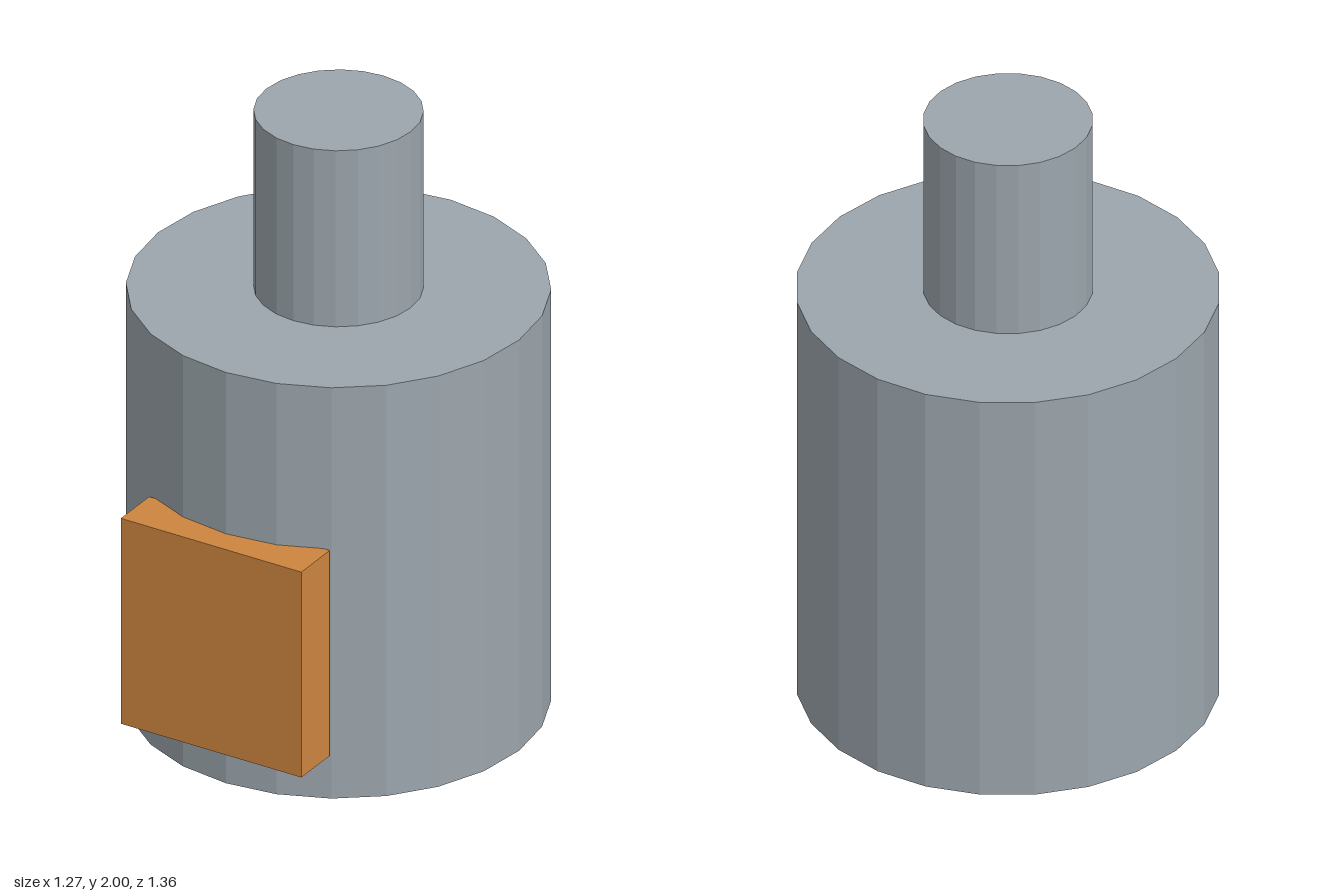
import * as THREE from 'three';

export function createModel() {
  const group = new THREE.Group();
  const steel = new THREE.MeshStandardMaterial({ name: 'steel grey', color: 0x9ca6ad, flatShading: true });
  const copper = new THREE.MeshStandardMaterial({ name: 'copper orange', color: 0xcd853f, flatShading: true });
  const axisZ = -0.042; // common axis of the two drums

  const add = (name, geometry, material, y, z) => {
    const mesh = new THREE.Mesh(geometry, material);
    mesh.name = name;
    mesh.position.set(0, y, z);
    group.add(mesh);
  };

  // Upright 24-sided drum standing on height y0
  const drum = (name, radius, y0, y1) =>
    add(name, new THREE.CylinderGeometry(radius, radius, y1 - y0, 24), steel, (y0 + y1) / 2, axisZ);

  drum('body', 0.637, 0, 1.4);
  drum('chimney', 0.255, 1.4, 2);

  // Square door block set into the front of the body
  add('door', new THREE.BoxGeometry(0.637, 0.7, 0.16), copper, 0.5, 0.599);

  return group;
}
